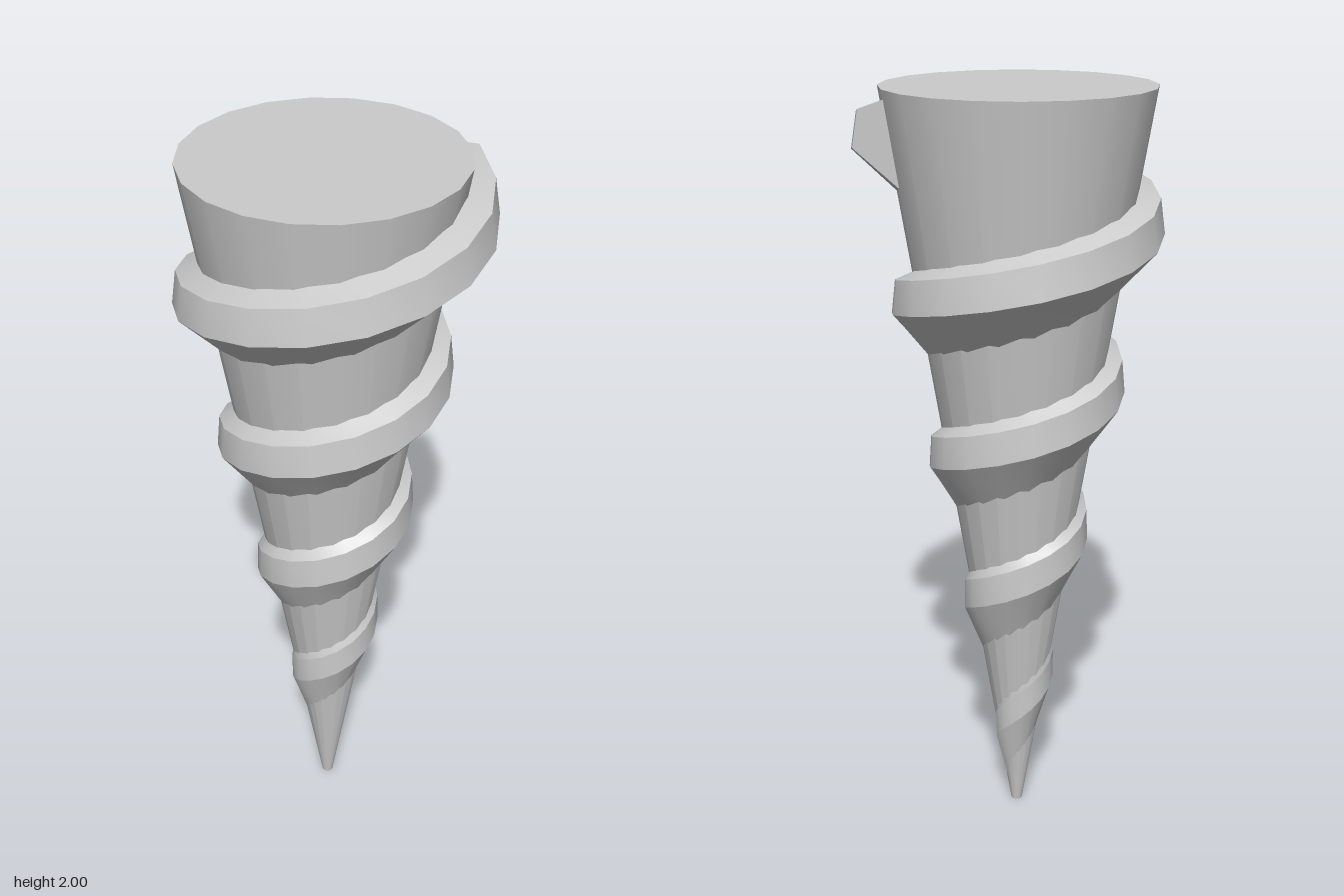
import * as THREE from 'three';

const HEIGHT = 2, R_TIP = 0.015, R_TOP = 0.342;
const TURNS = 4, STEPS = 18; // steps per turn of the thread
const bodyRadius = y => R_TIP + (R_TOP - R_TIP) * y / HEIGHT;

// Thread profile, bottom to top: [radius, y] at the tip end and at the top end.
// The first and last points sit just inside the tapered body.
const sunk = y => [bodyRadius(y) * 0.97, y];
const PROFILE = [
  { from: sunk(0.07), to: sunk(1.755) },
  { from: [0.059, 0.21], to: [0.416, 1.868] },
  { from: [0.062, 0.29], to: [0.401, 1.958] },
  { from: sunk(0.32), to: sunk(1.98) },
];

function threadPoint(corner, i) {
  const t = i / (TURNS * STEPS), a = (i / STEPS) * Math.PI * 2;
  const r = THREE.MathUtils.lerp(corner.from[0], corner.to[0], t);
  const y = THREE.MathUtils.lerp(corner.from[1], corner.to[1], t);
  return [r * Math.cos(a), y, -r * Math.sin(a)];
}

function makeGeometry(points, index) {
  const g = new THREE.BufferGeometry();
  g.setAttribute('position', new THREE.Float32BufferAttribute(points.flat(), 3));
  g.setIndex(index);
  g.computeVertexNormals();
  return g;
}

// One helical face between two neighbouring profile corners
function threadFace(low, high) {
  const points = [], index = [];
  for (let i = 0; i <= TURNS * STEPS; i++) {
    points.push(threadPoint(low, i), threadPoint(high, i));
    if (i < TURNS * STEPS) {
      const k = i * 2;
      index.push(k, k + 2, k + 1, k + 1, k + 2, k + 3);
    }
  }
  return makeGeometry(points, index);
}

export function createModel() {
  const group = new THREE.Group();
  const material = new THREE.MeshStandardMaterial({ color: 0xcccccc });
  const add = (parent, geometry, name) => {
    const mesh = new THREE.Mesh(geometry, material);
    mesh.name = name;
    parent.add(mesh);
  };

  // Tapered core
  const body = new THREE.CylinderGeometry(R_TOP, R_TIP, HEIGHT, 20);
  body.translate(0, HEIGHT / 2, 0);
  add(group, body, 'taperedBody');

  // Spiral thread: separate strips keep the long edges sharp
  const thread = new THREE.Group();
  thread.name = 'spiralThread';
  ['lowerFace', 'outerFace', 'upperFace'].forEach((name, j) =>
    add(thread, threadFace(PROFILE[j], PROFILE[j + 1]), name));

  // Flat ends of the thread
  add(thread, makeGeometry(PROFILE.map(c => threadPoint(c, 0)), [0, 1, 2, 0, 2, 3]), 'tipEnd');
  add(thread, makeGeometry(PROFILE.map(c => threadPoint(c, TURNS * STEPS)), [0, 2, 1, 0, 3, 2]), 'topEnd');
  group.add(thread);

  // The thread's uneven ends shift the axis slightly off centre
  group.children.forEach(part => part.position.set(-0.024, 0, -0.022));
  return group;
}
